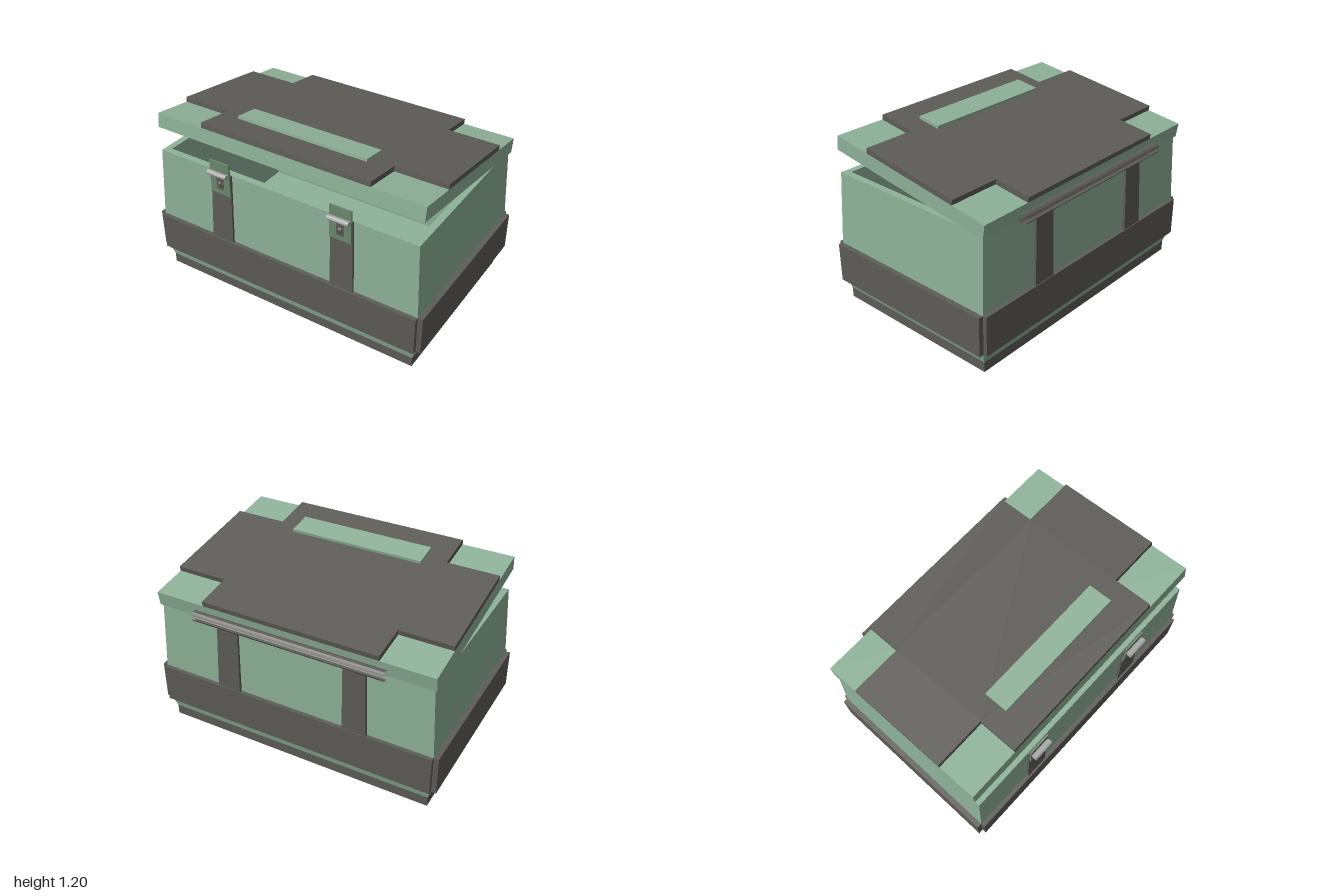
import * as THREE from 'three';

const mat = (color) => new THREE.MeshStandardMaterial({ color, flatShading: true, side: THREE.DoubleSide });

// Skin a stack of rectangles [y, x0, x1, z0, z1], closed at both ends.
function loft(rings) {
  const pos = [];
  const corners = rings.map(([y, x0, x1, z0, z1]) => [[x1, y, z1], [x1, y, z0], [x0, y, z0], [x0, y, z1]]);
  const quad = (a, b, c, d) => pos.push(...a, ...b, ...c, ...a, ...c, ...d);
  for (let i = 0; i < corners.length - 1; i++) {
    for (let k = 0; k < 4; k++) {
      const n = (k + 1) % 4;
      quad(corners[i][k], corners[i][n], corners[i + 1][n], corners[i + 1][k]);
    }
  }
  const first = corners[0], last = corners[corners.length - 1];
  quad(first[3], first[2], first[1], first[0]);
  quad(...last);
  const geo = new THREE.BufferGeometry();
  geo.setAttribute('position', new THREE.Float32BufferAttribute(pos, 3));
  geo.computeVertexNormals();
  return geo;
}

export function createModel() {
  const model = new THREE.Group();
  model.name = 'chest';
  const green = mat(0x8fb39a), dark = mat(0x5f5d59), latchGreen = mat(0x6e8a70), steel = mat(0xaaaaaa);

  const add = (parent, name, geo, material, x = 0, y = 0, z = 0) => {
    const m = new THREE.Mesh(geo, material);
    m.name = name;
    m.position.set(x, y, z);
    parent.add(m);
    return m;
  };
  // Box given by its limits
  const block = (parent, name, material, x0, x1, y0, y1, z0, z1) =>
    add(parent, name, new THREE.BoxGeometry(x1 - x0, y1 - y0, z1 - z0), material,
      (x0 + x1) / 2, (y0 + y1) / 2, (z0 + z1) / 2);

  // Base plinth and hollow tapered body
  block(model, 'plinth', dark, -0.94, 0.94, 0, 0.068, -0.59, 0.61);
  add(model, 'body', loft([
    [0.068, -0.94, 0.94, -0.59, 0.61],
    [0.15, -0.967, 0.967, -0.61, 0.627],
    [0.415, -0.967, 0.967, -0.612, 0.627],
    [0.91, -0.94, 0.94, -0.6, 0.607],
    [0.91, -0.895, 0.895, -0.555, 0.562],
    [0.13, -0.895, 0.895, -0.555, 0.562],
  ]), green);

  // Band panels, leaving a notch at every corner
  block(model, 'bandFront', dark, -0.967, 0.967, 0.15, 0.415, 0.62, 0.655);
  block(model, 'bandBack', dark, -0.967, 0.967, 0.15, 0.415, -0.638, -0.605);
  for (const s of [-1, 1]) {
    block(model, s > 0 ? 'bandLeft' : 'bandRight', dark,
      Math.min(s * 0.96, s), Math.max(s * 0.96, s), 0.15, 0.415, -0.612, 0.627);
  }

  // Straps and latches
  for (const s of [-1, 1]) {
    const side = s > 0 ? 'Left' : 'Right';
    const strap = (name, zLow, zHigh) => add(model, name + side, loft([
      [0.41, s * 0.452 - 0.082, s * 0.452 + 0.082, ...zLow],
      [0.91, s * 0.441 - 0.075, s * 0.441 + 0.075, ...zHigh],
    ]), dark);
    strap('frontStrap', [0.615, 0.642], [0.595, 0.622]);
    strap('backStrap', [-0.632, -0.605], [-0.615, -0.59]);

    const latch = new THREE.Group();
    latch.name = 'latch' + side;
    latch.position.x = s * 0.441;
    model.add(latch);
    block(latch, 'latchPlate', latchGreen, -0.075, 0.075, 0.765, 0.995, 0.625, 0.636);
    block(latch, 'rollerStem', steel, -0.07, 0.07, 0.914, 0.926, 0.63, 0.65);
    const roller = add(latch, 'latchRoller', new THREE.CylinderGeometry(0.015, 0.015, 0.146, 10), steel, 0, 0.92, 0.657);
    roller.rotation.z = Math.PI / 2;
    roller.scale.z = 1.25;
    block(latch, 'keyPlate', dark, -0.027, 0.027, 0.8, 0.886, 0.634, 0.638);
    const toggle = add(latch, 'toggle', new THREE.CylinderGeometry(0.02, 0.02, 0.02, 8), dark, 0, 0.835, 0.637);
    toggle.rotation.z = Math.PI / 2;
    toggle.scale.z = 0.5;
  }

  // Half-open lid, pivoting on its lower back edge
  const lid = new THREE.Group();
  lid.name = 'lid';
  lid.position.set(0, 0.895, -0.612);
  lid.rotation.x = -0.144;
  model.add(lid);
  add(lid, 'lidShell', loft([
    [0.037, -0.86, 0.86, 0.09, 1.13],
    [0, -0.86, 0.86, 0.09, 1.13],
    [0, -0.955, 0.955, 0, 1.223],
    [0.096, -0.955, 0.955, 0, 1.223],
  ]), green);

  // Cross-shaped cover plate
  const cross = new THREE.Shape();
  const w = 0.955, n = 0.605, d = 1.223, back = 0.246, front = 0.956;
  [[-n, 0], [n, 0], [n, back], [w, back], [w, front], [n, front],
    [n, d], [-n, d], [-n, front], [-w, front], [-w, back], [-n, back]]
    .forEach(([x, z], i) => (i ? cross.lineTo(x, -z) : cross.moveTo(x, -z)));
  const plate = new THREE.ExtrudeGeometry(cross, { depth: 0.034, bevelEnabled: false });
  plate.rotateX(-Math.PI / 2);
  add(lid, 'coverPlate', plate, dark, 0, 0.096, 0);
  block(lid, 'lidPanel', green, -0.466, 0.466, 0.138, 0.157, 0.868, 1.034);

  // Hinge: two curled leaves around the back edge
  for (const [name, start] of [['hingeUpperLeaf', -1.2], ['hingeLowerLeaf', Math.PI - 1.2]]) {
    const leaf = new THREE.CylinderGeometry(0.034, 0.034, 1.32, 6, 1, true, start, 2.4);
    leaf.rotateZ(Math.PI / 2);
    // turn so the leaves lie above and below the pin line
    leaf.rotateX(Math.PI / 2);
    add(model, name, leaf, dark, 0.005, 0.914, -0.641);
  }

  return model;
}
